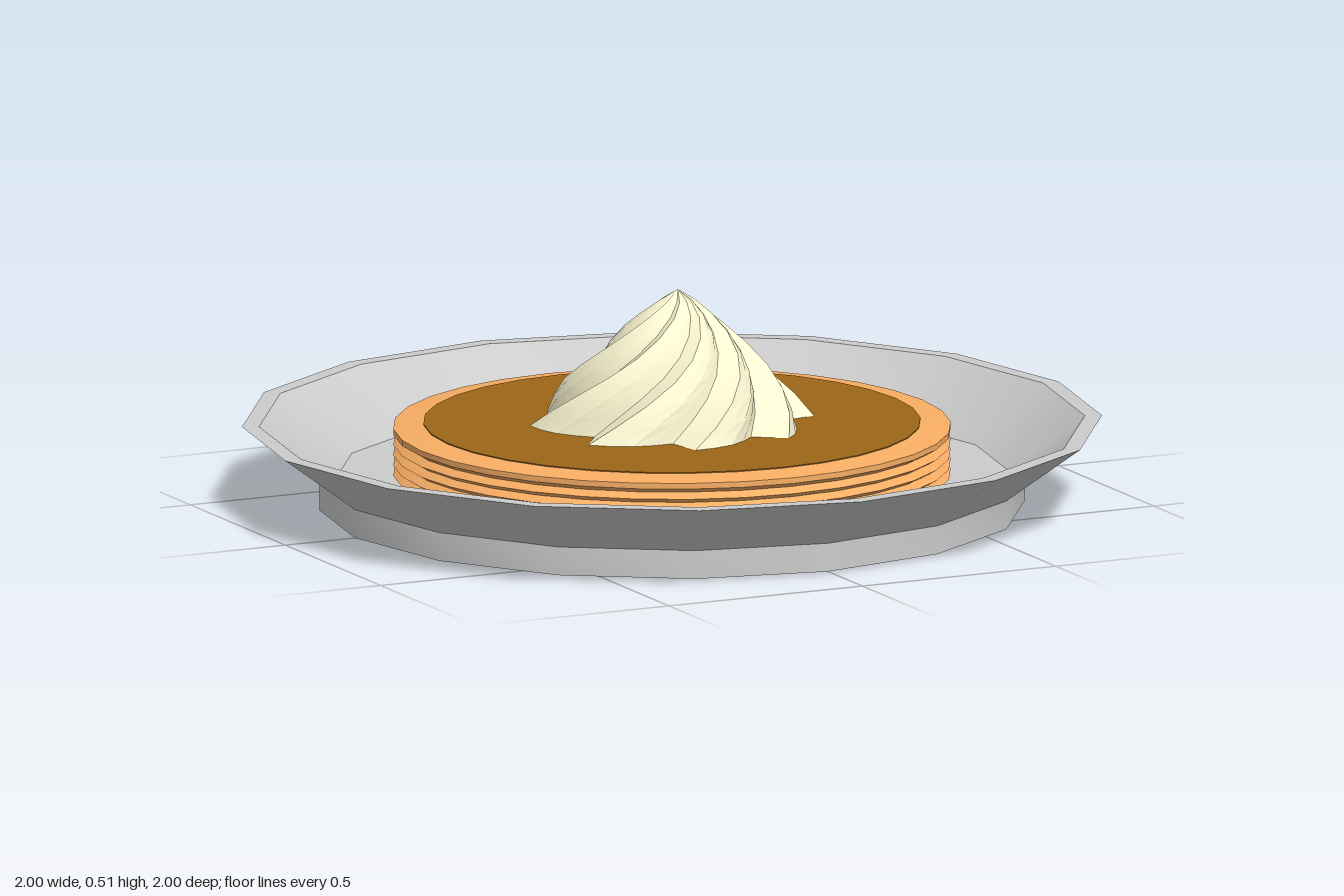
import * as THREE from 'three';
import { toCreasedNormals } from 'three/addons/utils/BufferGeometryUtils.js';

const material = (color) => new THREE.MeshStandardMaterial({ color });

// Surface of revolution from [radius, height] pairs, with sharp edges kept
function turned(name, profile, segments, mat) {
  const points = profile.map(([r, y]) => new THREE.Vector2(r, y));
  const mesh = new THREE.Mesh(toCreasedNormals(new THREE.LatheGeometry(points, segments), 0.45), mat);
  mesh.name = name;
  return mesh;
}

// Piped swirl: saw-toothed star sections that shrink and twist towards the tip
function swirlGeometry() {
  const lobes = 8;
  // [share of the lobe's angle, share of the radius]
  const tooth = [[0, 0.77], [0.2, 0.84], [0.4, 0.91], [0.6, 0.96], [0.8, 1]];
  // [tip radius, height]
  const rise = [[0.335, 0.2], [0.3, 0.245], [0.26, 0.29], [0.215, 0.335], [0.17, 0.378],
    [0.125, 0.42], [0.08, 0.458], [0.04, 0.488], [0.0, 0.512]];
  const n = lobes * tooth.length;
  const positions = [];
  const index = [];
  for (const [radius, y] of rise) {
    const twist = THREE.MathUtils.degToRad(-73 - 300 * (0.335 - radius));
    const lean = 0.015 * (y - 0.2) / 0.31;
    for (let j = 0; j < n; j++) {
      const [share, scale] = tooth[j % tooth.length];
      const lobe = Math.floor(j / tooth.length);
      const a = twist + (lobe + share - 0.8) * Math.PI * 2 / lobes;
      positions.push(lean + radius * scale * Math.cos(a), y, radius * scale * Math.sin(a));
    }
  }
  for (let i = 0; i < rise.length - 1; i++) {
    for (let j = 0; j < n; j++) {
      const k = (j + 1) % n;
      const a = i * n + j, b = i * n + k, c = a + n, d = b + n;
      index.push(b, a, c);
      if (i < rise.length - 2) index.push(b, c, d);
    }
  }
  const geometry = new THREE.BufferGeometry();
  geometry.setAttribute('position', new THREE.Float32BufferAttribute(positions, 3));
  geometry.setIndex(index);
  return toCreasedNormals(geometry, 0.7);
}

export function createModel() {
  const model = new THREE.Group();
  model.name = 'pieOnPlate';

  // Sixteen-sided plate with a flared rim and a hollow foot
  model.add(turned('plate', [
    [0, 0.04], [0.79, 0.04], [0.79, 0], [0.82, 0], [0.82, 0.067],
    [1, 0.2], [0.96, 0.2], [0.785, 0.07], [0, 0.07],
  ], 16, material(0xcccccc)));

  // Crust with a ridged side and a slightly sloping top edge
  const side = [];
  const ridges = 5, bottom = 0.068, top = 0.19;
  for (let i = 0; i < ridges; i++) {
    const step = (top - bottom) / ridges;
    side.push([0.63, bottom + i * step], [0.648, bottom + (i + 0.45) * step]);
  }
  side.push([0.648, top], [0.575, 0.199]);
  model.add(turned('crust', side, 32, material(0xf8ae64)));

  // Flat filling
  model.add(turned('filling', [[0.578, 0.19], [0.578, 0.201], [0, 0.201]], 32, material(0x9c6618)));

  // Whipped cream swirl
  const cream = new THREE.Mesh(swirlGeometry(), material(0xfdf8d2));
  cream.material.side = THREE.DoubleSide;
  cream.name = 'whippedCream';
  model.add(cream);

  return model;
}
